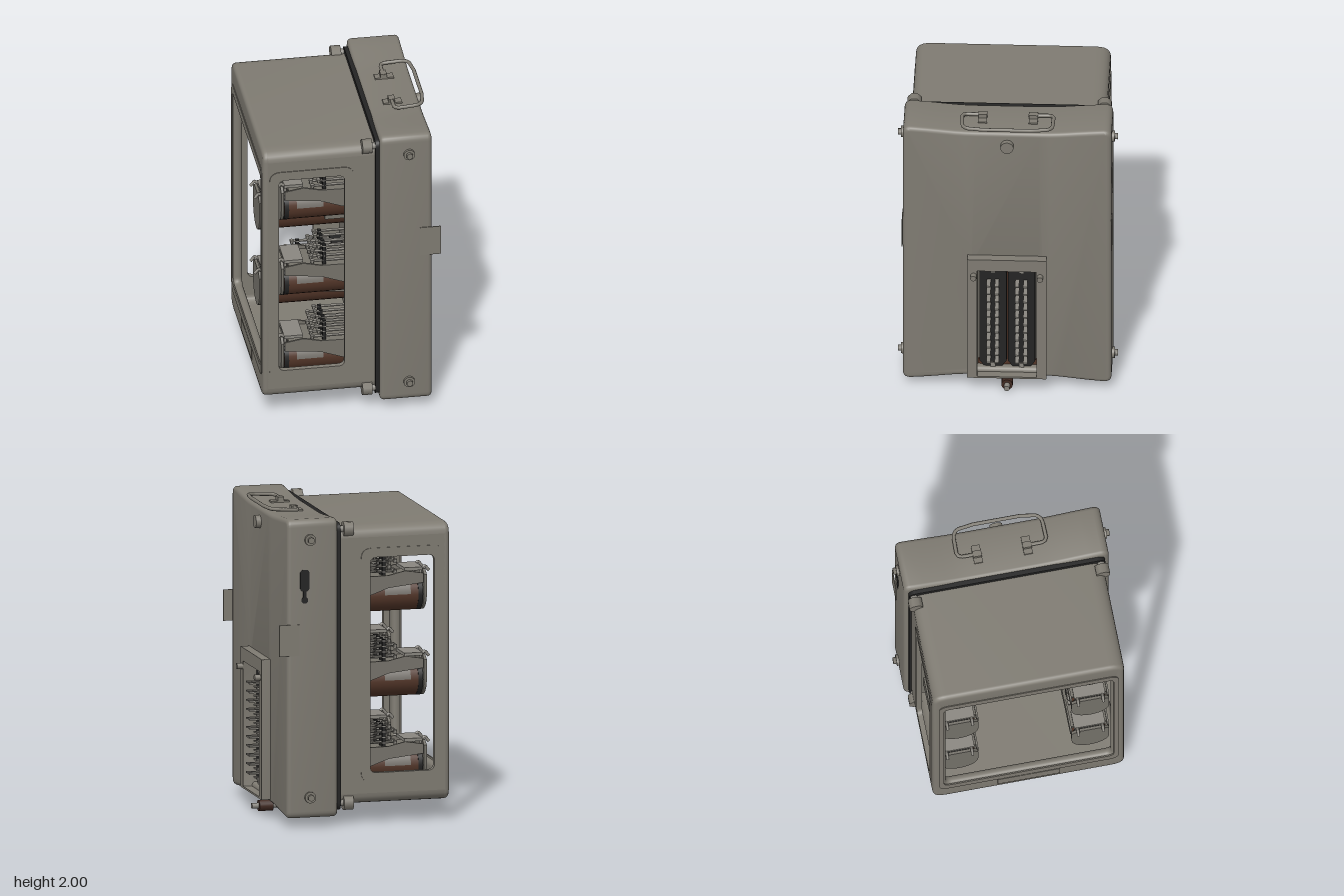
import * as THREE from 'three';
import { toCreasedNormals } from 'three/addons/utils/BufferGeometryUtils.js';

const mat = (name, color) => Object.assign(new THREE.MeshStandardMaterial({ color }), { name });
const casing = mat('casing grey', 0x7f7b72);
const metal = mat('contact metal', 0x8a8780);
const brown = mat('bakelite brown', 0x523528);
const darkBrown = mat('dark brown', 0x412a22);
const black = mat('black', 0x242424);
const label = mat('label grey', 0x77736d);
const steel = mat('relay steel', 0x75726a);

const HALF = Math.PI / 2;

// Rectangle with rounded corners, usable as outline or hole
function roundRect(x0, y0, x1, y1, rx, Type = THREE.Shape, ry = rx) {
  const s = new Type();
  s.moveTo(x0 + rx, y0);
  s.lineTo(x1 - rx, y0); s.quadraticCurveTo(x1, y0, x1, y0 + ry);
  s.lineTo(x1, y1 - ry); s.quadraticCurveTo(x1, y1, x1 - rx, y1);
  s.lineTo(x0 + rx, y1); s.quadraticCurveTo(x0, y1, x0, y1 - ry);
  s.lineTo(x0, y0 + ry); s.quadraticCurveTo(x0, y0, x0 + rx, y0);
  return s;
}
const polygon = (points) => new THREE.Shape(points.map((p) => new THREE.Vector2(...p)));

// Extrusion from 0 to depth, bevelled inwards
function slab(shape, depth, bevel = 0) {
  const g = new THREE.ExtrudeGeometry(shape, {
    depth: depth - 2 * bevel, bevelEnabled: bevel > 0, bevelSize: bevel, bevelOffset: -bevel,
    bevelThickness: bevel, bevelSegments: 4, curveSegments: 6,
  });
  g.translate(0, 0, bevel);
  return toCreasedNormals(g, 0.6);
}

function add(parent, name, geo, material, x = 0, y = 0, z = 0) {
  const m = new THREE.Mesh(geo, material);
  m.name = name;
  m.position.set(x, y, z);
  parent.add(m);
  return m;
}
// Box given by its min and max corners
function box(parent, name, material, x0, x1, y0, y1, z0, z1) {
  return add(parent, name, new THREE.BoxGeometry(x1 - x0, y1 - y0, z1 - z0), material,
    (x0 + x1) / 2, (y0 + y1) / 2, (z0 + z1) / 2);
}
// Cylinder along x from x0 to x1
function rodX(parent, name, material, x0, x1, y, z, r0, r1 = r0, seg = 16) {
  const g = new THREE.CylinderGeometry(r1, r0, x1 - x0, seg).rotateZ(-HALF);
  return add(parent, name, g, material, (x0 + x1) / 2, y, z);
}
function wire(parent, name, material, points, r) {
  const path = new THREE.CurvePath();
  const v = points.map((p) => new THREE.Vector3(...p));
  for (let i = 1; i < v.length; i++) path.add(new THREE.LineCurve3(v[i - 1], v[i]));
  return add(parent, name, new THREE.TubeGeometry(path, 48, r, 8), material);
}

// Cut a window into an outline and thicken it
function windowWall(outline, w0, w1, depth, bevel = 0) {
  outline.holes.push(roundRect(w0, 0.33, w1, 1.71, 0.04, THREE.Path));
  return slab(outline, depth, bevel);
}

function buildCover() {
  const g = new THREE.Group();
  g.name = 'cover';
  // Front and back walls with raised window frames
  for (const s of [1, -1]) {
    add(g, 'sideWall', windowWall(roundRect(-0.55, 0.2, 0.15, 1.84, 0.001), -0.48, -0.06, 0.03), casing,
      0, 0, s > 0 ? 0.585 : -0.615);
    add(g, 'windowFrame', windowWall(roundRect(-0.54, 0.27, 0, 1.77, 0.07), -0.48, -0.06, 0.006), casing,
      0, 0, s > 0 ? 0.614 : -0.62);
    // Top and bottom panels curving down into the walls
    const arch = new THREE.Shape();
    arch.moveTo(-0.615, 0.82);
    arch.quadraticCurveTo(-0.615, 0.89, -0.52, 0.89);
    arch.lineTo(0.52, 0.89);
    arch.quadraticCurveTo(0.615, 0.89, 0.615, 0.82);
    arch.lineTo(0.585, 0.82);
    arch.quadraticCurveTo(0.585, 0.86, 0.51, 0.86);
    arch.lineTo(-0.51, 0.86);
    arch.quadraticCurveTo(-0.585, 0.86, -0.585, 0.82);
    const panel = slab(arch, 0.7).rotateY(HALF).translate(-0.55, 0, 0);
    if (s < 0) panel.rotateX(Math.PI);
    add(g, s > 0 ? 'topPanel' : 'bottomPanel', panel, casing, 0, 1.02);
  }
  // End wall with softened edges
  const end = roundRect(-0.615, 0.13, 0.615, 1.91, 0.095, THREE.Shape, 0.07);
  add(g, 'endWall', windowWall(end, -0.53, 0.53, 0.06, 0.026).rotateY(HALF), casing, -0.581);
  add(g, 'endWindowFrame',
    windowWall(roundRect(-0.575, 0.27, 0.575, 1.77, 0.06), -0.545, 0.545, 0.008).rotateY(HALF), casing, -0.586);
  // Label plate low on the end wall
  box(g, 'endLabelPlate', casing, -0.585, -0.578, 0.18, 0.26, -0.2, 0.2);
  // Corner clamps
  for (const y of [0.145, 1.9]) for (const z of [-0.6, 0.6]) {
    rodX(g, 'clamp', casing, 0.052, 0.115, y, z, 0.047, 0.047, 8).rotation.x = Math.PI / 8;
    rodX(g, 'clampScrew', metal, 0.11, 0.18, y, z, 0.022);
  }
  return g;
}

function buildBase() {
  const g = new THREE.Group();
  g.name = 'base';
  // Housing outline with waisted top and bottom edges
  const s = new THREE.Shape();
  s.moveTo(-0.61, 0.065);
  s.bezierCurveTo(-0.4, 0.08, -0.35, 0.1, -0.2, 0.1);
  s.lineTo(0.2, 0.1);
  s.bezierCurveTo(0.35, 0.1, 0.4, 0.08, 0.61, 0.065);
  s.quadraticCurveTo(0.658, 0.065, 0.658, 0.11);
  s.lineTo(0.658, 1.93);
  s.quadraticCurveTo(0.658, 1.978, 0.61, 1.978);
  s.bezierCurveTo(0.4, 1.965, 0.35, 1.95, 0.2, 1.95);
  s.lineTo(-0.2, 1.95);
  s.bezierCurveTo(-0.35, 1.95, -0.4, 1.965, -0.61, 1.978);
  s.quadraticCurveTo(-0.658, 1.978, -0.658, 1.93);
  s.lineTo(-0.658, 0.11);
  s.quadraticCurveTo(-0.658, 0.065, -0.61, 0.065);
  // Opening for the connector
  s.holes.push(roundRect(-0.2, 0.16, 0.2, 0.945, 0.003, THREE.Path));
  add(g, 'housing', slab(s, 0.33, 0.026).rotateY(HALF), casing, 0.162);
  add(g, 'gasket', slab(roundRect(-0.63, 0.1, 0.63, 1.94, 0.05), 0.03).rotateY(HALF), black, 0.136);
  box(g, 'mountingPlate', steel, 0.1, 0.138, 0.2, 1.84, -0.56, 0.56);
  // Side bolts and tabs
  for (const z of [1, -1]) {
    for (const y of [0.2, 1.85]) {
      add(g, 'sideBolt', new THREE.CylinderGeometry(0.036, 0.036, 0.025, 20).rotateX(HALF), casing, 0.345, y, z * 0.662);
      add(g, 'boltHead', new THREE.CylinderGeometry(0.022, 0.022, 0.045, 6).rotateX(HALF), casing, 0.345, y, z * 0.672);
    }
    box(g, 'sideTab', casing, 0.415, 0.547, 1.11, 1.31, z * 0.66 - 0.003, z * 0.66 + 0.003);
  }
  // Keyhole mark on the back
  add(g, 'keyholeSlot', slab(roundRect(0.35, 1.52, 0.41, 1.66, 0.025), 0.005), black, 0, 0, -0.661);
  box(g, 'keyholeNeck', black, 0.37, 0.39, 1.47, 1.53, -0.661, -0.656);
  add(g, 'keyholeEnd', new THREE.CylinderGeometry(0.022, 0.022, 0.005, 16).rotateX(HALF), black, 0.38, 1.465, -0.6585);
  rodX(g, 'lockButton', casing, 0.485, 0.525, 1.86, 0, 0.041, 0.041, 24);
  // Carrying handle with its brackets
  wire(g, 'handle', casing, [
    [0.315, 1.972, 0.13], [0.315, 1.975, 0.27], [0.335, 1.977, 0.288], [0.46, 1.985, 0.285],
    [0.495, 1.987, 0.26], [0.51, 1.988, 0.15], [0.51, 1.988, -0.15], [0.495, 1.987, -0.26],
    [0.46, 1.985, -0.285], [0.335, 1.977, -0.288], [0.315, 1.975, -0.27], [0.315, 1.972, -0.13],
  ], 0.012);
  for (const z of [-0.16, 0.16]) {
    box(g, 'handleBracket', casing, 0.26, 0.38, 1.945, 1.96, z - 0.028, z + 0.028);
    box(g, 'handleLoop', casing, 0.295, 0.335, 1.95, 1.985, z - 0.028, z + 0.028);
  }
  // Locating pin underneath
  rodX(g, 'pinTip', darkBrown, 0.01, 0.07, 0.04, 0, 0.015, 0.032);
  rodX(g, 'pinSleeve', darkBrown, 0.07, 0.2, 0.04, 0, 0.032, 0.026);
  rodX(g, 'pinShaft', metal, 0.2, 0.545, 0.04, 0, 0.018);
  rodX(g, 'pinCollar', darkBrown, 0.41, 0.5, 0.04, 0, 0.036);
  box(g, 'pinHanger', casing, 0.3, 0.36, 0.04, 0.12, -0.015, 0.015);
  return g;
}

function buildConnector() {
  const g = new THREE.Group();
  g.name = 'connector';
  const frame = roundRect(-0.25, 0.12, 0.25, 1.02, 0.003);
  frame.holes.push(roundRect(-0.187, 0.132, 0.187, 0.935, 0.003, THREE.Path));
  add(g, 'connectorFrame', slab(frame, 0.06).rotateY(HALF), casing, 0.488);
  // Recess lining and floor
  const lining = roundRect(-0.2, 0.128, 0.2, 0.945, 0.003);
  lining.holes.push(roundRect(-0.187, 0.132, 0.187, 0.935, 0.003, THREE.Path));
  add(g, 'recessLining', slab(lining, 0.06).rotateY(HALF), casing, 0.43);
  box(g, 'recessFloor', casing, 0.425, 0.435, 0.128, 0.945, -0.2, 0.2);
  // Brown carrier showing at the ends and between the blocks
  box(g, 'carrierBottom', brown, 0.434, 0.443, 0.132, 0.2, -0.187, 0.187);
  box(g, 'carrierTop', brown, 0.434, 0.443, 0.87, 0.92, -0.187, 0.187);
  box(g, 'carrierSpine', brown, 0.434, 0.443, 0.2, 0.87, -0.01, 0.01);
  for (const z of [-0.21, 0.21]) rodX(g, 'guideStud', casing, 0.54, 0.585, 0.9, z, 0.019);
  for (const c of [-0.09, 0.09]) {
    // Block with clipped corners
    const s = polygon([[-0.05, 0.15], [0.05, 0.15], [0.086, 0.2], [0.086, 0.87], [0.05, 0.92],
      [-0.05, 0.92], [-0.086, 0.87], [-0.086, 0.2]]);
    add(g, 'contactBlock', slab(s, 0.026).rotateY(HALF), black, 0.438, 0, c);
    for (const y of [0.17, 0.89]) box(g, 'blockScrew', metal, 0.46, 0.475, y - 0.018, y + 0.018, c - 0.016, c + 0.016);
    for (let i = 0; i < 11; i++) for (const z of [-0.026, 0.026])
      box(g, 'contactBlade', metal, 0.46, 0.545, 0.229 + i * 0.058, 0.239 + i * 0.058, c + z - 0.013, c + z + 0.013);
  }
  return g;
}

// One relay; y = 0 is the bottom of its coil
function buildRelay() {
  const g = new THREE.Group();
  g.name = 'relay';
  rodX(g, 'coil', brown, -0.43, 0.11, 0.11, 0, 0.11, 0.11, 24);
  rodX(g, 'coilFlange', black, -0.43, -0.4, 0.113, 0, 0.114, 0.114, 24);
  // Round-bottomed end plate
  const s = new THREE.Shape();
  s.moveTo(-0.12, 0.24);
  s.lineTo(-0.12, 0.12);
  s.absarc(0, 0.12, 0.12, Math.PI, Math.PI * 2, false);
  s.lineTo(0.12, 0.24);
  s.lineTo(0.08, 0.27);
  s.lineTo(-0.08, 0.27);
  add(g, 'endPlate', slab(s, 0.018).rotateY(HALF), steel, -0.452);
  // Tapered yoke cheeks and bridge
  const cheek = polygon([[-0.43, 0.19], [-0.2, 0.165], [-0.06, 0.115], [0.11, 0.1], [0.11, 0.24],
    [-0.2, 0.245], [-0.31, 0.27], [-0.43, 0.25]]);
  for (const z of [-0.125, 0.113]) add(g, 'yokeCheek', slab(cheek, 0.012), steel, 0, 0, z);
  box(g, 'yoke', steel, -0.4, 0.11, 0.215, 0.24, -0.12, 0.12);
  for (const z of [-1, 1]) {
    // Label wrapped on the lower side of the coil
    const wrap = new THREE.CylinderGeometry(0.113, 0.113, 0.17, 8, 1, true, -0.96, 0.9).rotateZ(-HALF);
    if (z < 0) wrap.rotateY(Math.PI);
    const patch = add(g, 'coilLabel', wrap, label, -0.265, 0.11, 0);
    patch.rotation.x = z * LABEL_TURN;
    // Armature hook
    wire(g, 'armatureHook', metal, [[-0.475, 0.26, z * 0.08], [-0.45, 0.29, z * 0.08], [-0.42, 0.27, z * 0.08],
      [-0.42, 0.2, z * 0.08], [-0.33, 0.19, z * 0.08]], 0.01);
  }
  box(g, 'armatureTop', metal, -0.43, -0.31, 0.265, 0.285, -0.1, 0.1);
  // Contact spring stack
  for (const z of [-0.095, -0.035, 0.035, 0.095]) {
    for (let i = 0; i < 4; i++) {
      const y = 0.262 + i * 0.035;
      box(g, 'contactSpring', metal, -0.26 + (i % 2) * 0.04, 0.11, y, y + 0.006, z - 0.012, z + 0.012);
      add(g, 'contactTip', new THREE.CylinderGeometry(0.014, 0.009, 0.026, 8), metal, -0.25 + (i % 2) * 0.04, y, z);
    }
    box(g, 'springLifter', black, -0.186, -0.164, 0.24, 0.38, z - 0.012, z + 0.012);
  }
  box(g, 'springClamp', black, 0.03, 0.1, 0.24, 0.39, -0.115, 0.115);
  return g;
}
// Angle that brings the label from its start position to the lower side
const LABEL_TURN = 0;

export function createModel() {
  const model = new THREE.Group();
  model.name = 'relayBox';
  model.add(buildCover(), buildBase(), buildConnector());
  // Two columns of three relays
  for (const z of [-0.42, 0.42]) for (const y of [0.235, 0.783, 1.33]) {
    const r = buildRelay();
    r.position.set(0, y, z);
    model.add(r);
  }
  box(model, 'terminalBlock', steel, -0.1, 0.11, 1.1, 1.28, -0.1, 0.1);
  return model;
}
